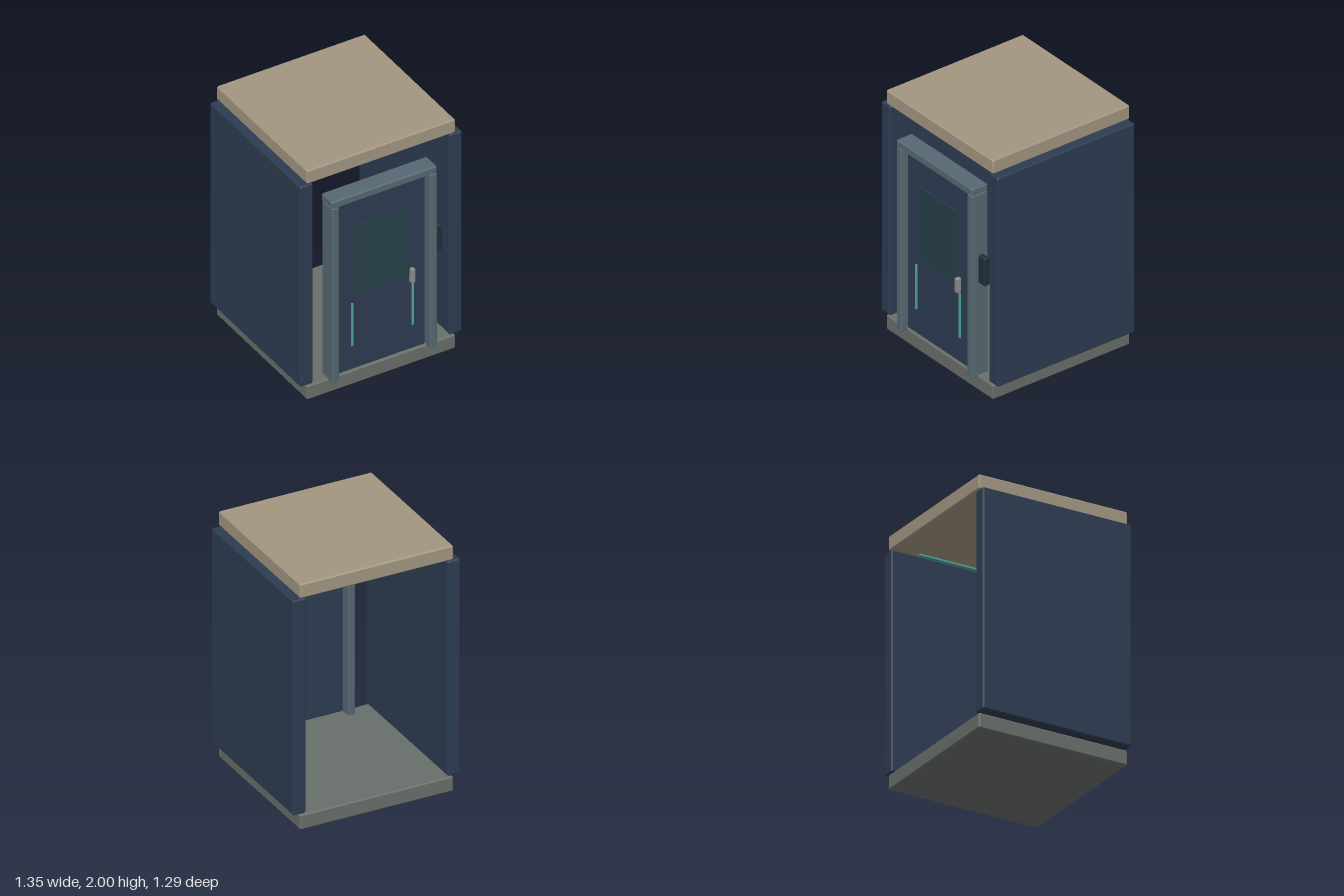
import * as THREE from 'three';
import { ConvexGeometry } from 'three/addons/geometries/ConvexGeometry.js';

const mat = (color) => new THREE.MeshStandardMaterial({ color });
const wallBlue = mat(0x2d3c52);
const roofTan = mat(0xa29681);
const floorGrey = mat(0x686e6a);
const frameGrey = mat(0x566872);
const glass = mat(0x263f48);
const glow = mat(0x4fa89a);
const metal = mat(0x8a8c8c);
const dark = mat(0x222c3c);

// Box with flat chamfered edges: each corner becomes three points
function chamferBox(w, h, d, c) {
  const pts = [];
  for (const x of [-1, 1]) for (const y of [-1, 1]) for (const z of [-1, 1]) {
    for (let k = 0; k < 3; k++) {
      pts.push(new THREE.Vector3(
        x * (w / 2 - (k === 0 ? 0 : c)),
        y * (h / 2 - (k === 1 ? 0 : c)),
        z * (d / 2 - (k === 2 ? 0 : c))));
    }
  }
  return new ConvexGeometry(pts);
}

// Part given by its extents along each axis; c is the chamfer size
function part(name, [x0, x1], [y0, y1], [z0, z1], material, c = 0) {
  const w = x1 - x0, h = y1 - y0, d = z1 - z0;
  const geo = c ? chamferBox(w, h, d, c) : new THREE.BoxGeometry(w, h, d);
  const mesh = new THREE.Mesh(geo, material);
  mesh.name = name;
  mesh.position.set((x0 + x1) / 2, (y0 + y1) / 2, (z0 + z1) / 2);
  return mesh;
}

export function createModel() {
  const model = new THREE.Group();
  model.name = 'cabin';
  const depth = [-0.645, 0.597];

  // Shell: floor slab and roof slab, open at the back
  model.add(part('floor', [-0.62, 0.62], [0, 0.122], depth, floorGrey, 0.01));
  model.add(part('roof', [-0.62, 0.62], [1.882, 2], depth, roofTan, 0.01));

  // Door assembly
  const door = new THREE.Group();
  door.name = 'door';
  door.add(part('doorPanel', [-0.365, 0.361], [0.138, 1.618], [0.55, 0.605], wallBlue, 0.01));
  door.add(part('doorWindow', [-0.235, 0.23], [0.788, 1.388], [0.595, 0.613], glass));
  door.add(part('doorHandle', [0.226, 0.262], [0.73, 0.85], [0.6, 0.64], metal, 0.006));
  model.add(door);

  // Door frame
  const frame = new THREE.Group();
  frame.name = 'doorFrame';
  frame.add(part('frameHeader', [-0.442, 0.438], [1.622, 1.688], [0.5, 0.645], frameGrey, 0.01));
  model.add(frame);

  // Mirrored parts: walls, frame posts, door light strips, ceiling lights
  for (const [s, side] of [[1, 'left'], [-1, 'right']]) {
    const span = (a, b) => (s > 0 ? [a, b] : [-b, -a]);
    model.add(part(side + 'Wall', span(0.572, 0.677), [0.13, 1.877], depth, wallBlue, 0.01));
    frame.add(part(side + 'FramePost', span(0.378, 0.44), [0.102, 1.63], [0.5, 0.645], frameGrey, 0.01));
    door.add(part(side + 'DoorStrip', span(0.246, 0.26), [0.35, 0.72], [0.6, 0.615], glow));
    model.add(part(side + 'CeilingLight', span(0.484, 0.512), [1.841, 1.854], [-0.46, 0.39], glow));
  }

  // Access panel beside the door
  model.add(part('accessPanel', [0.435, 0.514], [0.887, 1.121], [0.54, 0.59], dark, 0.01));
  return model;
}
